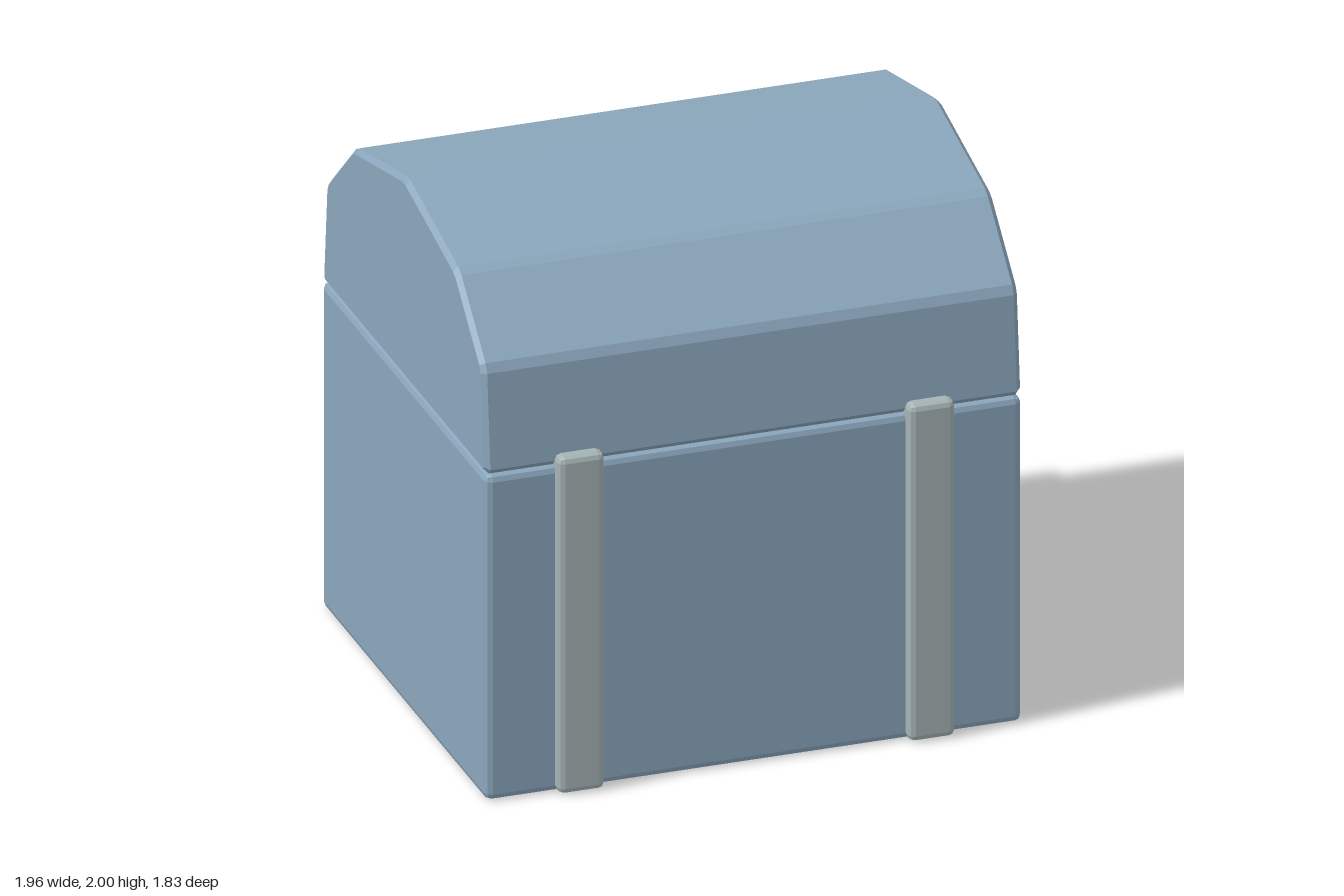
import * as THREE from 'three';
import { RoundedBoxGeometry } from 'three/addons/geometries/RoundedBoxGeometry.js';

const paint = (color) => new THREE.MeshStandardMaterial({ color, flatShading: true });

// Box with softened edges, given by its [min, max] range on each axis
function bevelBox(name, x, y, z, bevel, material) {
  const geometry = new RoundedBoxGeometry(x[1] - x[0], y[1] - y[0], z[1] - z[0], 1, bevel);
  const mesh = new THREE.Mesh(geometry, material);
  mesh.name = name;
  mesh.position.set((x[0] + x[1]) / 2, (y[0] + y[1]) / 2, (z[0] + z[1]) / 2);
  return mesh;
}

// Closed outline with every corner cut off at a fixed distance
function chamferedShape(points, cut) {
  const corners = points.map(([x, y]) => new THREE.Vector2(x, y));
  const n = corners.length;
  const outline = corners.flatMap((p, i) =>
    [corners[(i + n - 1) % n], corners[(i + 1) % n]].map((q) =>
      q.clone().sub(p).setLength(cut).add(p)));
  return new THREE.Shape(outline);
}

export function createModel() {
  const chest = new THREE.Group();
  chest.name = 'chest';
  const shell = paint(0x8aa6bc);
  const band = paint(0xa5b3b5);
  const metal = paint(0x5b9fc0);

  // Lower box
  chest.add(bevelBox('body', [-0.98, 0.98], [0, 1.237], [-0.83, 0.87], 0.025, shell));

  // Faceted barrel lid: half profile mirrored about the ridge, extruded along x
  const ridgeZ = 0.022;
  const half = [[0.845, 1.238], [0.808, 1.63], [0.53, 1.882]];
  const profile = [
    ...half.map(([z, y]) => [ridgeZ + z, y]),
    [ridgeZ, 2.002],
    ...half.map(([z, y]) => [ridgeZ - z, y]).reverse(),
  ];
  const bevel = 0.018;
  const length = 1.96 - 2 * bevel;
  const lidGeometry = new THREE.ExtrudeGeometry(chamferedShape(profile, 0.02), {
    depth: length,
    bevelThickness: bevel,
    bevelSize: bevel,
    bevelOffset: -bevel,
    bevelSegments: 1,
  });
  lidGeometry.translate(0, 0, -length / 2).rotateY(-Math.PI / 2);
  const lid = new THREE.Mesh(lidGeometry, shell);
  lid.name = 'lid';
  chest.add(lid);

  // Bands running through the box, standing proud at front and back
  for (const [name, x] of [['rightBand', -0.643], ['leftBand', 0.638]]) {
    chest.add(bevelBox(name, [x - 0.084, x + 0.084], [0.004, 1.283], [-0.873, 0.914], 0.022, band));
  }

  // Latch plate bridging lid and box at the back
  chest.add(bevelBox('latch', [-0.15, 0.146], [0.946, 1.325], [-0.914, -0.828], 0.024, metal));

  return chest;
}
